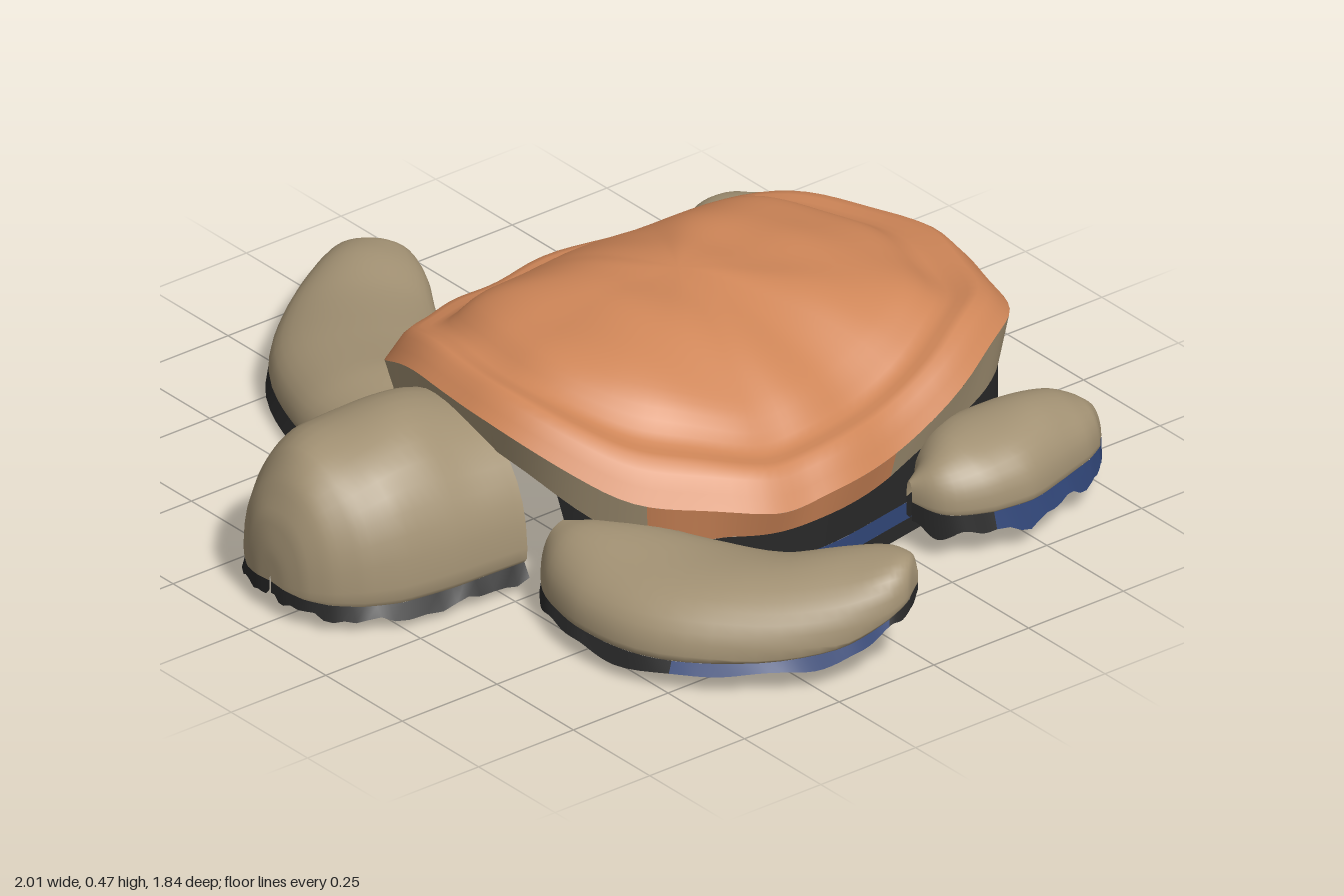
import * as THREE from 'three';

const material = (name, color) => {
  const m = new THREE.MeshStandardMaterial({ color, side: THREE.DoubleSide });
  m.name = name;
  return m;
};

// Smooth surface from a rule point(u, v, row); v runs around, u runs along or outward
function surface(rows, cols, closed, point) {
  const pos = [], index = [];
  const n = closed ? cols : cols + 1;
  for (let i = 0; i <= rows; i++)
    for (let j = 0; j < n; j++) pos.push(...point(i / rows, j / cols, i));
  for (let i = 0; i < rows; i++)
    for (let j = 0; j < cols; j++) {
      const k = (j + 1) % n;
      const a = i * n + j, b = (i + 1) * n + j, c = (i + 1) * n + k, d = i * n + k;
      index.push(a, c, b, a, d, c);
    }
  const g = new THREE.BufferGeometry();
  g.setAttribute('position', new THREE.Float32BufferAttribute(pos, 3));
  g.setIndex(index);
  g.computeVertexNormals();
  return g;
}

const spline = (pts, closed = false) =>
  new THREE.CatmullRomCurve3(pts.map(p => new THREE.Vector3(...p)), closed, 'centripetal');
const bell = (t, at, width) => Math.exp(-(((t - at) / width) ** 2));
const lerp = THREE.MathUtils.lerp;
const smooth = THREE.MathUtils.smoothstep;

export function createModel() {
  const model = new THREE.Group();
  const skin = material('tan skin', 0xa39274);
  const orange = material('orange shell', 0xcf8658);
  const dark = material('dark underside', 0x282828);
  const blue = material('blue hem', 0x314678);
  const add = (name, geometry, mat, parent = model) => {
    const mesh = new THREE.Mesh(geometry, mat);
    mesh.name = name;
    parent.add(mesh);
  };

  // Shell rim: x, y, z
  const rim = spline([
    [-0.05, 0.27, -0.82], [0.2, 0.3, -0.78], [0.4, 0.32, -0.68], [0.5, 0.29, -0.5],
    [0.56, 0.21, -0.25], [0.59, 0.2, -0.05], [0.57, 0.2, 0.1], [0.47, 0.23, 0.28],
    [0.33, 0.29, 0.41], [0.1, 0.36, 0.48], [-0.1, 0.36, 0.46], [-0.3, 0.29, 0.4],
    [-0.42, 0.22, 0.25], [-0.52, 0.17, 0.05], [-0.56, 0.16, -0.15], [-0.54, 0.16, -0.4],
    [-0.47, 0.19, -0.6], [-0.3, 0.24, -0.75],
  ], true);
  const cx = 0, cz = -0.13;

  // Domed shell with a raised border, a groove inside it and soft plates
  const shellPoint = (t, v) => {
    const r = rim.getPoint(v);
    const s = t * (1 + 0.005 * Math.sin(v * 2 * Math.PI * 13) * t);
    const x = lerp(cx, r.x, s), z = lerp(cz, r.z, s);
    const crown = 0.445 + 0.02 * smooth(z, -0.5, 0.1);
    const power = 2.1 + 1.1 * smooth(Math.abs(r.z + 0.17), 0.2, 0.6);
    let y = lerp(r.y, crown, 1 - t ** power);
    y += 0.03 * bell(t, 0.92, 0.06) - 0.016 * bell(t, 0.79, 0.06);
    y += 0.006 * Math.sin(z * 26) * Math.cos(x * 11) * (1 - t * t);
    y += 0.006 * Math.sin(v * 2 * Math.PI * 9) * t * t;
    return [x, y, z];
  };
  add('shell', surface(32, 108, true, shellPoint), orange);

  // Body wall below the rim, open at the neck
  const body = new THREE.Group();
  body.name = 'body wall';
  model.add(body);
  const wall = (v, k) => {
    if (k === 0) return shellPoint(1, v);
    const r = rim.getPoint(v);
    const rear = 1 - smooth(r.z, -0.6, -0.3);
    const leftSide = smooth(r.x, 0.2, 0.5);
    const drop = 0.015 + 0.05 * smooth(r.z, 0.15, 0.35) + 0.09 * rear + 0.04 * leftSide * (1 - rear);
    const neck = 0.4 * smooth(r.z, 0.4, 0.44);
    const level = [0, r.y, 0.075 + 0.04 * rear, 0.035, 0][k];
    const flare = r.x < 0 ? 0.09 * bell(r.z, 0.05, 0.12) * (k - 1) / 3 : 0;
    const s = 0.97 + flare;
    return [lerp(cx, r.x, s), Math.min(Math.max(level, neck), r.y - drop), lerp(cz, r.z, s)];
  };
  const band = (name, k, from, to, mat) =>
    add(name, surface(1, 90, false, (u, v, i) => wall(lerp(from, to, v), k + i)), mat, body);
  band('shellLip', 0, 0.22, 0.4, orange);
  band('upperWall', 0, 0.4, 1.22, skin);
  band('lowerWall', 1, 0, 1, dark);
  band('leftHem', 2, 0.11, 0.41, blue);
  band('wallBase', 2, 0.41, 1.11, dark);
  band('wallEdge', 3, 0, 1, dark);

  // Hollow arched limb; stations are x, z, half width, bottom y, top y.
  // The hem is blue between the two given fractions of its length;
  // curl rolls the lower edges inward towards the tip.
  function limb(name, stations, hemDrop, blueFrom = 1, blueTo = 1, curl = 0) {
    const group = new THREE.Group();
    group.name = name;
    model.add(group);
    const path = spline(stations.map(s => [s[0], 0, s[1]]));
    const size = spline(stations.map(s => [s[2], s[3], s[4]]));
    const at = (u, angle, outset = 1, drop = 0) => {
      const p = path.getPoint(u), t = path.getTangent(u), s = size.getPoint(u);
      const side = Math.max(s.x, 0.002) * Math.cos(angle) * outset;
      const lift = Math.sin(angle);
      const bulge = 1 + 0.025 * Math.sin(u * 17 + angle * 3);
      const y = s.y + (s.z - s.y) * (lift > 0 ? lift ** 0.85 * bulge : lift * 0.25);
      return [p.x + t.z * side, Math.max(0.015, y - drop), p.z - t.x * side];
    };
    const low = u => -0.3 - curl * smooth(u, 0.4, 0.8);
    add(name + 'Skin', surface(36, 22, false, (u, v) =>
      at(u, lerp(low(u), Math.PI - low(u), v))), skin, group);
    // Ragged hem hanging from both lower edges
    const pieces = [[0, blueFrom, dark], [blueFrom, blueTo, blue], [blueTo, 1, dark]];
    for (const mirrored of [false, true])
      for (const [from, to, mat] of pieces.filter(p => p[1] > p[0]))
        add('hem', surface(24, 1, false, (s, v) => {
          const u = lerp(from, to, s);
          const angle = mirrored ? Math.PI - low(u) : low(u);
          const ragged = 1 + 0.2 * Math.sin(u * 23) + 0.15 * Math.sin(u * 51 + angle);
          return at(u, angle, 1 + 0.08 * v, v * hemDrop * ragged);
        }), mat, group);
  }

  limb('head', [
    [-0.02, 0.43, 0.24, 0.075, 0.34], [-0.025, 0.52, 0.24, 0.075, 0.36], [-0.03, 0.62, 0.24, 0.075, 0.375],
    [-0.03, 0.74, 0.225, 0.075, 0.365], [-0.03, 0.82, 0.19, 0.075, 0.335], [-0.03, 0.875, 0.145, 0.075, 0.285],
    [-0.03, 0.907, 0.095, 0.075, 0.22], [-0.03, 0.92, 0.04, 0.075, 0.14], [-0.03, 0.921, 0, 0.075, 0.085],
  ], 0.03);
  limb('leftFrontFlipper', [
    [0.29, 0.4, 0.07, 0.07, 0.18], [0.36, 0.395, 0.125, 0.07, 0.195], [0.46, 0.375, 0.175, 0.07, 0.2],
    [0.61, 0.33, 0.2, 0.07, 0.2], [0.76, 0.23, 0.175, 0.08, 0.21], [0.87, 0.12, 0.14, 0.11, 0.24],
    [0.93, 0.055, 0.1, 0.155, 0.255], [0.957, 0.025, 0.06, 0.18, 0.245], [0.967, 0.015, 0, 0.19, 0.21],
  ], 0.025, 0.4, 0.75, 0.5);
  limb('rightFrontFlipper', [
    [-0.33, 0.31, 0.13, 0.06, 0.19], [-0.38, 0.295, 0.165, 0.06, 0.19], [-0.47, 0.265, 0.195, 0.06, 0.185],
    [-0.62, 0.2, 0.195, 0.06, 0.17], [-0.77, 0.085, 0.165, 0.06, 0.15], [-0.875, -0.02, 0.13, 0.06, 0.16],
    [-0.93, -0.075, 0.1, 0.06, 0.15], [-0.953, -0.1, 0.06, 0.06, 0.12], [-0.96, -0.108, 0, 0.06, 0.08],
  ], 0.035, 0.7, 1);
  limb('leftRearFlipper', [
    [0.585, -0.27, 0.015, 0.12, 0.16], [0.6, -0.32, 0.08, 0.11, 0.2], [0.6, -0.38, 0.12, 0.11, 0.225],
    [0.585, -0.47, 0.145, 0.11, 0.235], [0.57, -0.58, 0.13, 0.11, 0.235], [0.565, -0.68, 0.105, 0.11, 0.215],
    [0.567, -0.735, 0.075, 0.11, 0.19], [0.57, -0.76, 0.04, 0.11, 0.165], [0.57, -0.765, 0, 0.11, 0.13],
  ], 0.045, 0.25, 1);
  limb('rightRearFlipper', [
    [-0.17, -0.83, 0.06, 0.07, 0.19], [-0.26, -0.81, 0.115, 0.07, 0.22], [-0.4, -0.755, 0.145, 0.07, 0.21],
    [-0.52, -0.73, 0.13, 0.07, 0.19], [-0.595, -0.735, 0.1, 0.07, 0.17], [-0.635, -0.745, 0.06, 0.07, 0.14],
    [-0.648, -0.75, 0, 0.07, 0.09],
  ], 0.04);
  limb('tail', [
    [0.02, -0.77, 0.085, 0.12, 0.23], [0.02, -0.83, 0.07, 0.12, 0.21], [0.018, -0.88, 0.055, 0.12, 0.19],
    [0.015, -0.91, 0.03, 0.12, 0.16], [0.015, -0.915, 0, 0.12, 0.13],
  ], 0.05, 0.2, 0.55);

  return model;
}
